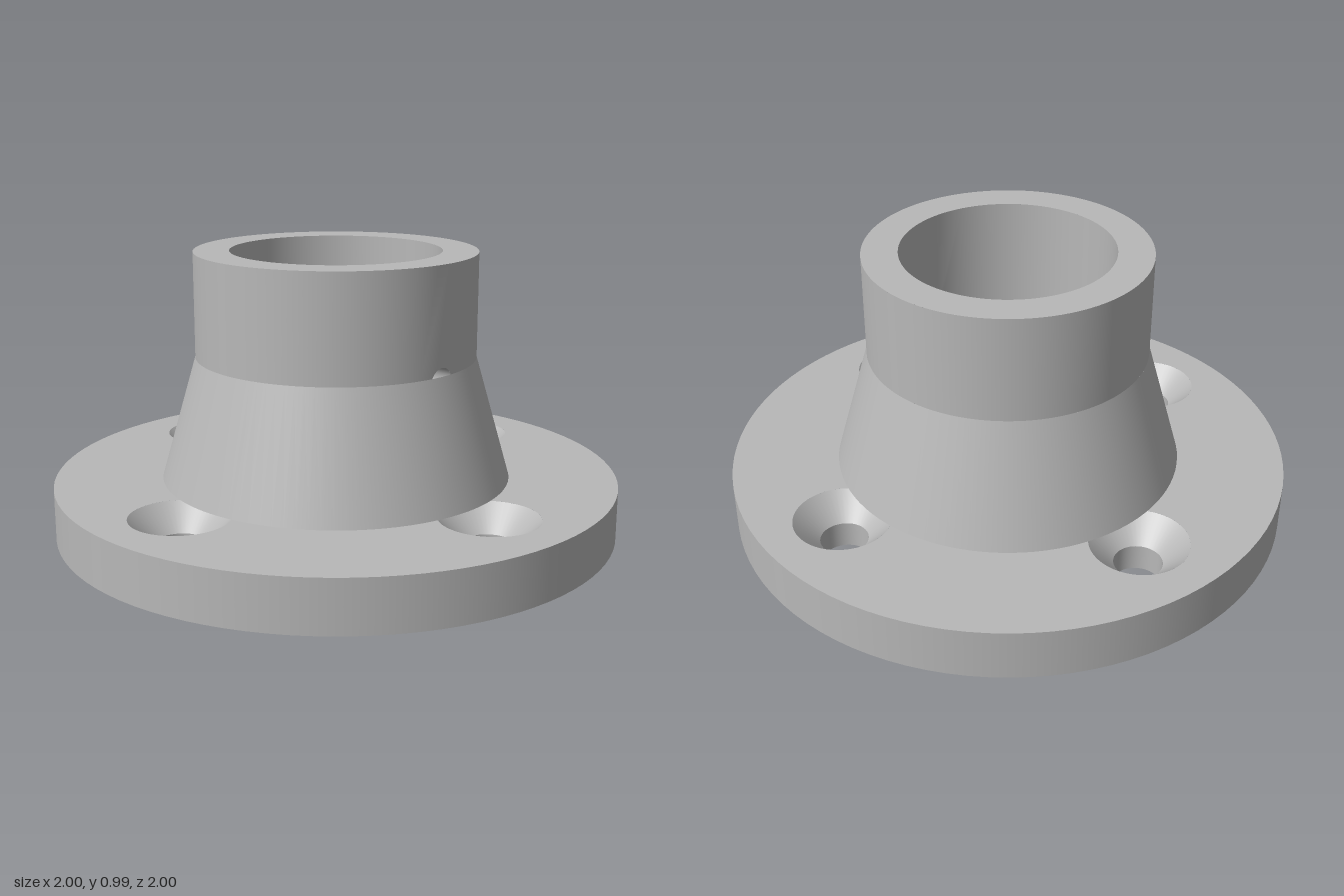
import * as THREE from 'three';

const SEG = 96;
const FLANGE_R = 1, FLANGE_H = 0.182;
const TUBE_R = 0.495, BORE_R = 0.37, TOP = 0.985;
const CONE_R = 0.62, CONE_TOP = 0.615;
const BOLT_R = 0.71, HOLE_R = 0.083, SINK_R = 0.17;
const PIN_R = 0.05, PIN_Y = 0.595, PANEL = 0.2; // PANEL: half angle of the drilled wall strip

export function createModel() {
  const model = new THREE.Group();
  model.name = 'flangedSocket';
  const grey = new THREE.MeshStandardMaterial({ color: 0xb8b8b8 });
  grey.name = 'plain grey';

  const add = (name, geometry, parent = model) => {
    const mesh = new THREE.Mesh(geometry, grey);
    mesh.name = name;
    parent.add(mesh);
    return mesh;
  };
  // One straight profile line turned about y; upward lines face out, downward ones face in
  const turn = (r0, y0, r1, y1, start = 0, length = Math.PI * 2, seg = SEG) =>
    new THREE.LatheGeometry([new THREE.Vector2(r0, y0), new THREE.Vector2(r1, y1)], seg, start, length);

  // Disc pierced by the four bolt holes
  const boltAngles = [0, 1, 2, 3].map(i => i * Math.PI / 2);
  const piercedDisc = holeR => {
    const disc = new THREE.Shape().absarc(0, 0, FLANGE_R, 0, Math.PI * 2);
    for (const a of boltAngles) {
      disc.holes.push(new THREE.Path().absarc(
        BOLT_R * Math.cos(a), BOLT_R * Math.sin(a), holeR, 0, Math.PI * 2, true));
    }
    return new THREE.ShapeGeometry(disc, SEG / 2);
  };

  // Flange
  add('flangeTop', piercedDisc(SINK_R).rotateX(-Math.PI / 2).translate(0, FLANGE_H, 0));
  add('flangeBottom', piercedDisc(HOLE_R).rotateX(Math.PI / 2));
  add('flangeRim', turn(FLANGE_R, 0, FLANGE_R, FLANGE_H));

  // Countersunk bolt holes
  const sinkY = FLANGE_H - (SINK_R - HOLE_R);
  for (const a of boltAngles) {
    const hole = new THREE.Group();
    hole.name = 'boltHole';
    hole.position.set(BOLT_R * Math.cos(a), 0, BOLT_R * Math.sin(a));
    add('countersink', turn(SINK_R, FLANGE_H, HOLE_R, sinkY, 0, Math.PI * 2, 48), hole);
    add('boltShaft', turn(HOLE_R, sinkY, HOLE_R, 0, 0, Math.PI * 2, 48), hole);
    model.add(hole);
  }

  // Tapered foot, its underside hanging over the countersinks
  add('taperedFoot', turn(CONE_R, FLANGE_H, TUBE_R, CONE_TOP));
  add('footUnderside', new THREE.RingGeometry(BORE_R, CONE_R, SEG)
    .rotateX(Math.PI / 2).translate(0, FLANGE_H + 0.003, 0));

  // Tube walls, leaving a strip on the left side for the drilled hole
  const start = Math.PI / 2 + PANEL, sweep = Math.PI * 2 - 2 * PANEL;
  add('tubeWall', turn(TUBE_R, CONE_TOP, TUBE_R, TOP, start, sweep));
  add('boreWall', turn(BORE_R, TOP, BORE_R, FLANGE_H, start, sweep));
  add('tubeRim', new THREE.RingGeometry(BORE_R, TUBE_R, SEG).rotateX(-Math.PI / 2).translate(0, TOP, 0));

  // Bends a flat shape (across, height) round the axis; side 1 faces out, -1 faces in
  const bend = (shape, r, side) => {
    const geometry = new THREE.ShapeGeometry(shape, 24);
    const p = geometry.attributes.position, n = geometry.attributes.normal;
    for (let i = 0; i < p.count; i++) {
      const a = p.getX(i) / r;
      p.setXYZ(i, r * Math.cos(a), p.getY(i), -side * r * Math.sin(a));
      n.setXYZ(i, side * Math.cos(a), 0, -Math.sin(a));
    }
    return geometry;
  };
  // Strip outline with closely spaced points along top and bottom
  const strip = (r, y0, y1, gap) => {
    const w = PANEL * r, pts = [], steps = 8;
    for (let i = 0; i <= steps; i++) {
      const x = -w + 2 * w * i / steps;
      if (Math.abs(x) >= gap) pts.push(new THREE.Vector2(x, y0));
      else if (i === steps / 2) {
        // arch left open above the tapered foot
        const a0 = Math.asin((CONE_TOP - PIN_Y) / PIN_R);
        for (let k = 0; k <= 16; k++) {
          const a = Math.PI - a0 - (Math.PI - 2 * a0) * k / 16;
          pts.push(new THREE.Vector2(PIN_R * Math.cos(a), PIN_Y + PIN_R * Math.sin(a)));
        }
      }
    }
    for (let i = steps; i >= 0; i--) pts.push(new THREE.Vector2(-w + 2 * w * i / steps, y1));
    return new THREE.Shape(pts);
  };
  add('tubeWallStrip', bend(strip(TUBE_R, CONE_TOP, TOP, PIN_R), TUBE_R, 1));
  const inner = strip(BORE_R, FLANGE_H, TOP, 0);
  inner.holes.push(new THREE.Path().absarc(0, PIN_Y, PIN_R, 0, Math.PI * 2, true));
  add('boreWallStrip', bend(inner, BORE_R, -1));

  // Cross hole through the tube, closed outside by the foot
  add('crossHole', turn(PIN_R, TUBE_R - 0.002, PIN_R, BORE_R - 0.003, 0, Math.PI * 2, 32)
    .rotateZ(-Math.PI / 2).translate(0, PIN_Y, 0));
  const a0 = Math.asin((CONE_TOP - PIN_Y) / PIN_R);
  const plug = new THREE.Shape().absarc(0, PIN_Y, PIN_R, Math.PI - a0, Math.PI * 2 + a0);
  add('crossHolePlug', bend(plug, TUBE_R - 0.002, -1));

  return model;
}
